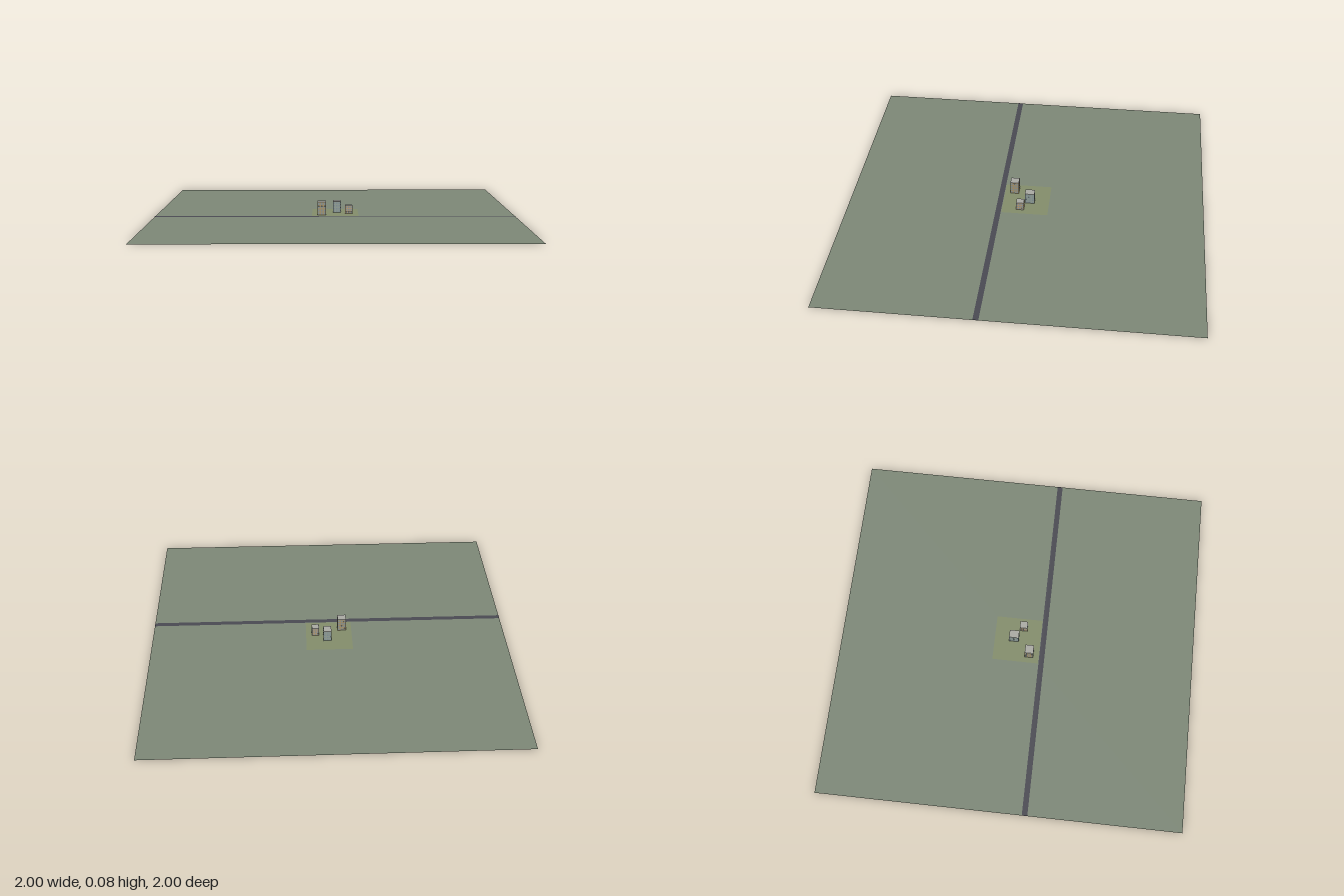
import * as THREE from 'three';

const mat = (color, side = THREE.FrontSide) => new THREE.MeshStandardMaterial({ color, side });

// Flat rectangle lying on the ground
function sheet(name, w, d, x, y, z, color, side) {
  const mesh = new THREE.Mesh(new THREE.PlaneGeometry(w, d).rotateX(-Math.PI / 2), mat(color, side));
  mesh.position.set(x, y, z);
  mesh.name = name;
  return mesh;
}

function box(name, w, h, d, x, y, z, material) {
  const mesh = new THREE.Mesh(new THREE.BoxGeometry(w, h, d), material);
  mesh.position.set(x, y, z);
  mesh.name = name;
  return mesh;
}

// Block with a flat roof and a grid of windows on all four sides
function building({ name, x, z, w, h, d, color, floors, columns }) {
  const group = new THREE.Group();
  group.name = name;
  group.position.set(x, 0, z);
  const roofH = 0.002;
  const wallH = h - roofH;
  group.add(box('walls', w, wallH, d, 0, wallH / 2, 0, mat(color)));
  group.add(box('roof', w, roofH, d, 0, h - roofH / 2, 0, mat(0xaaaaa4)));

  const glass = mat(0x84949a);
  const rowH = wallH / floors;
  for (let side = 0; side < 4; side++) {
    const span = side % 2 ? d : w;
    const depth = side % 2 ? w : d;
    const wall = new THREE.Group();
    wall.name = 'windows';
    wall.rotation.y = side * Math.PI / 2;
    const colW = span / columns;
    for (let r = 0; r < floors; r++) {
      for (let c = 0; c < columns; c++) {
        wall.add(box('window', colW * 0.55, rowH * 0.55, 0.001,
          (c + 0.5) * colW - span / 2, (r + 0.5) * rowH, depth / 2, glass));
      }
    }
    group.add(wall);
  }
  return group;
}

export function createModel() {
  const model = new THREE.Group();
  model.name = 'buildingSite';

  // Ground, plot and road
  model.add(sheet('ground', 2, 2, 0, 0, 0, 0x7d8877, THREE.DoubleSide));
  model.add(sheet('plot', 0.26, 0.26, 0, 0.0006, 0, 0x838d6b));
  model.add(sheet('road', 2, 0.03, 0, 0.0012, 0.148, 0x4a4a52));

  // Three buildings
  [
    { name: 'tallBuilding', x: -0.075, z: 0.075, w: 0.048, h: 0.075, d: 0.048, color: 0xa5946f, floors: 4, columns: 3 },
    { name: 'middleBuilding', x: 0.01, z: -0.02, w: 0.044, h: 0.064, d: 0.054, color: 0x93a098, floors: 4, columns: 3 },
    { name: 'lowBuilding', x: 0.077, z: 0.028, w: 0.04, h: 0.048, d: 0.043, color: 0xb09a7a, floors: 3, columns: 3 },
  ].forEach((spec) => model.add(building(spec)));

  return model;
}
